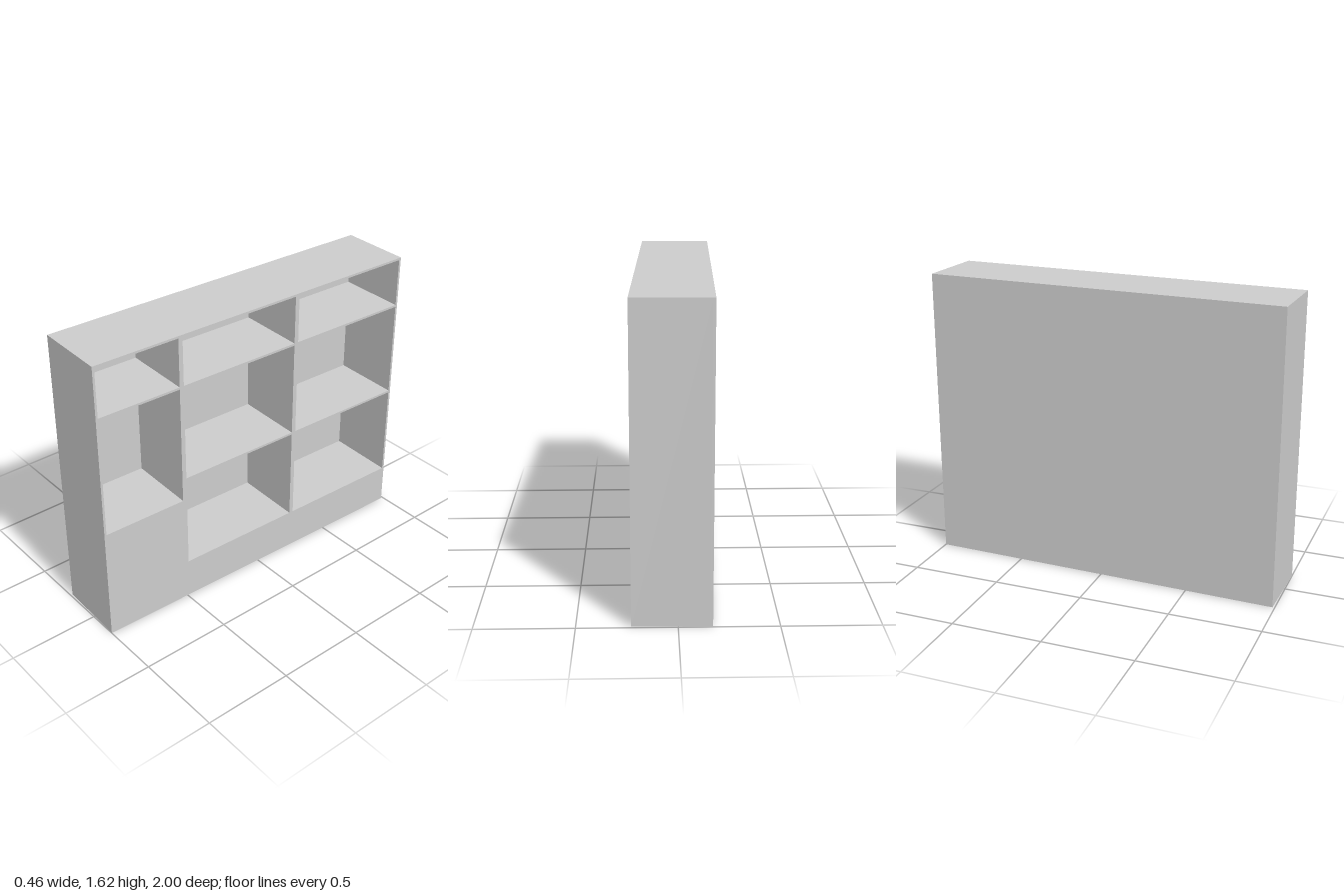
import * as THREE from 'three';

const H = 1.62, HALF = 0.994, FRONT = 0.2, T = 0.0125;
const BACK = -FRONT + T;             // inner face of the back panel
const DEPTH = FRONT - BACK;

// Bays along the unit: outer ends, floor height and shelf tops
const BAYS = [
  { name: 'narrowBay', z0: 0.494, z1: HALF, floor: 0.648, shelves: [1.336] },
  { name: 'middleBay', z0: -0.25, z1: 0.494, floor: 0.232, shelves: [1.336, 0.781] },
  { name: 'endBay', z0: -HALF, z1: -0.25, floor: 0.232, shelves: [1.336, 0.781] },
];

function rect(path, x0, x1, y0, y1) {
  path.moveTo(x0, y0);
  path.lineTo(x1, y0);
  path.lineTo(x1, y1);
  path.lineTo(x0, y1);
  path.closePath();
  return path;
}

export function createModel() {
  const grey = new THREE.MeshStandardMaterial({ color: 0xcccccc });
  grey.name = 'light grey';

  const model = new THREE.Group();
  model.name = 'shelfUnit';

  function add(parent, name, geometry, x = 0, y = 0, z = 0) {
    const mesh = new THREE.Mesh(geometry, grey);
    mesh.name = name;
    mesh.position.set(x, y, z);
    parent.add(mesh);
  }

  // Carcass: side walls, double dividers, top and solid plinth in one piece
  const outline = rect(new THREE.Shape(), -HALF, HALF, 0, H);
  for (const b of BAYS) {
    outline.holes.push(rect(new THREE.Path(), -b.z1 + T, -b.z0 - T, b.floor, H - T));
  }
  const carcass = new THREE.ExtrudeGeometry(outline, { depth: DEPTH, bevelEnabled: false });
  carcass.rotateY(Math.PI / 2);
  add(model, 'carcass', carcass, BACK);

  add(model, 'backPanel', new THREE.BoxGeometry(T, H, 2 * HALF), -FRONT + T / 2, H / 2);

  // Shelves, each with a thin rail hanging below at mid depth
  for (const b of BAYS) {
    const bay = new THREE.Group();
    bay.name = b.name;
    const width = b.z1 - b.z0 - 2 * T, z = (b.z0 + b.z1) / 2;
    for (const top of b.shelves) {
      add(bay, 'shelf', new THREE.BoxGeometry(DEPTH, T, width), (FRONT + BACK) / 2, top - T / 2, z);
      add(bay, 'rail', new THREE.BoxGeometry(0.01, 0.01, width), 0.005, top - 0.047, z);
    }
    model.add(bay);
  }

  // The unit stands slightly turned
  model.rotation.y = -0.03;
  return model;
}
